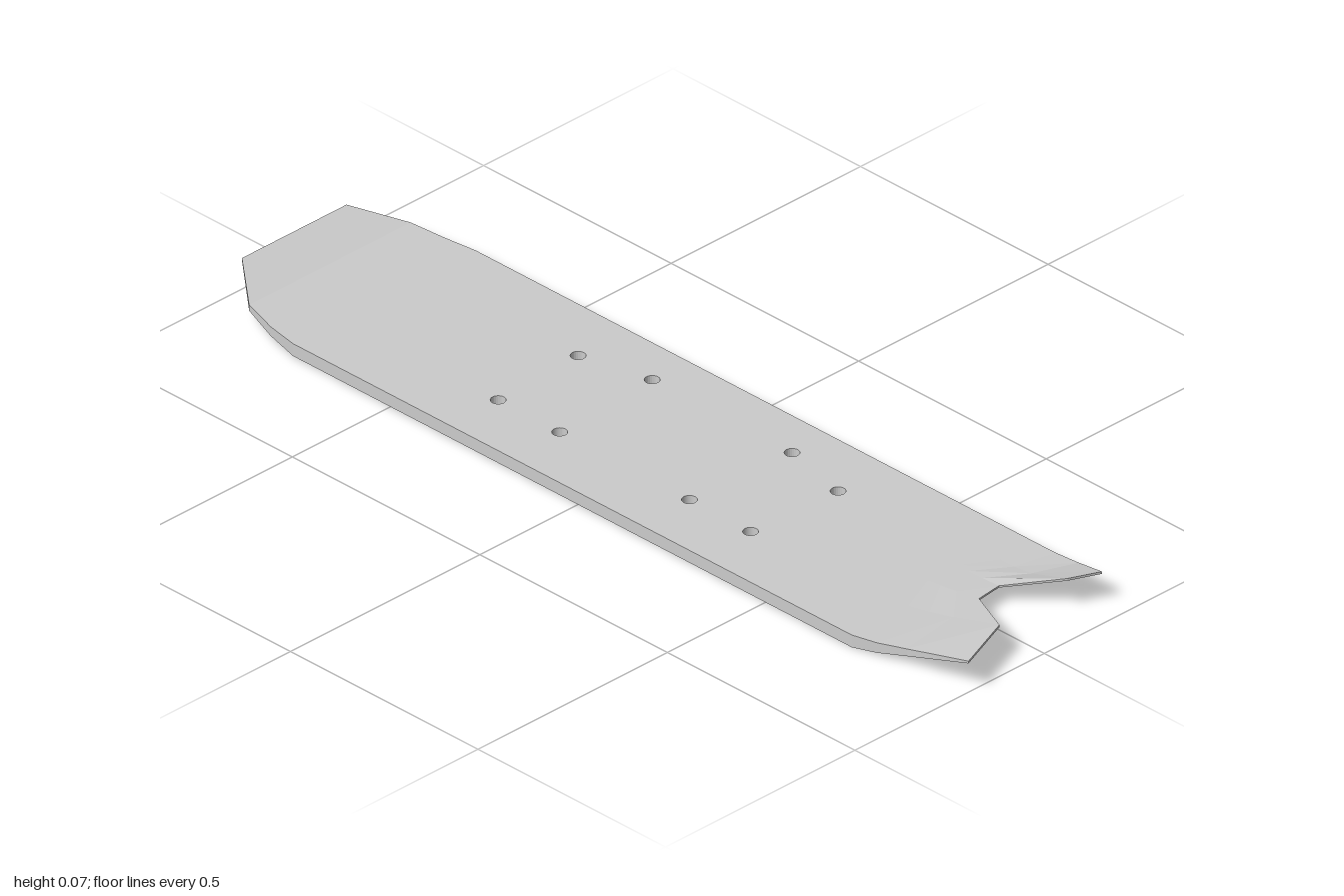
import * as THREE from 'three';

const THICK = 0.027;

// Lofts a solid bent end. Each row is a list of [x, z, bottom, top],
// rows run outward from the flat deck.
function loftEnd(rows) {
  const pos = [];
  const pt = (i, j, side) => {
    const [x, z, bottom, top] = rows[i][j];
    return [x, side ? top : bottom, z];
  };
  const quad = (a, b, c, d) => pos.push(...a, ...b, ...c, ...a, ...c, ...d);
  const n = rows.length - 1;
  const m = rows[0].length - 1;
  for (let i = 0; i < n; i++) {
    for (let j = 0; j < m; j++) {
      quad(pt(i, j, 1), pt(i + 1, j, 1), pt(i + 1, j + 1, 1), pt(i, j + 1, 1));
      quad(pt(i, j, 0), pt(i, j + 1, 0), pt(i + 1, j + 1, 0), pt(i + 1, j, 0));
    }
    // side walls
    quad(pt(i, 0, 1), pt(i, 0, 0), pt(i + 1, 0, 0), pt(i + 1, 0, 1));
    quad(pt(i, m, 1), pt(i + 1, m, 1), pt(i + 1, m, 0), pt(i, m, 0));
  }
  // outer rim
  for (let j = 0; j < m; j++) {
    quad(pt(n, j, 1), pt(n, j, 0), pt(n, j + 1, 0), pt(n, j + 1, 1));
  }
  const geo = new THREE.BufferGeometry();
  geo.setAttribute('position', new THREE.Float32BufferAttribute(pos, 3));
  geo.computeVertexNormals();
  return geo;
}

export function createModel() {
  const group = new THREE.Group();
  group.name = 'skateboardDeck';
  const material = new THREE.MeshStandardMaterial({ color: 0xcccccc, flatShading: true });
  const add = (name, geo) => {
    const mesh = new THREE.Mesh(geo, material);
    mesh.name = name;
    group.add(mesh);
  };

  // Notched nose: rows of [x, z]; columns 2 and 3 run into the notch, which rises less
  const noseRows = [
    { y: [0, THICK], notch: [0, THICK],
      p: [[-0.241, 0.73], [-0.09, 0.73], [0, 0.69], [0.08, 0.69], [0.15, 0.73], [0.241, 0.74]] },
    { y: [0.007, 0.029], notch: [0.004, 0.028],
      p: [[-0.23, 0.785], [-0.08, 0.775], [0.003, 0.72], [0.077, 0.72], [0.148, 0.77], [0.239, 0.79]] },
    { y: [0.021, 0.037], notch: [0.013, 0.031],
      p: [[-0.215, 0.85], [-0.072, 0.83], [0.006, 0.76], [0.074, 0.76], [0.145, 0.82], [0.235, 0.855]] },
    { y: [0.063, 0.068], notch: [0.034, 0.038],
      p: [[-0.2, 1], [-0.066, 0.947], [0.009, 0.817], [0.068, 0.81], [0.143, 0.917], [0.207, 0.945]] },
  ];
  add('nose', loftEnd(noseRows.map(({ y, notch, p }) =>
    p.map(([x, z], j) => [x, z, ...(j === 2 || j === 3 ? notch : y)]))));

  // Kicked tail: [half width, z, bottom, top]
  const tailRows = [
    [0.241, -0.76, 0, THICK],
    [0.23, -0.83, 0.009, 0.029],
    [0.213, -0.905, 0.025, 0.038],
    [0.138, -1, 0.063, 0.068],
  ];
  add('tail', loftEnd(tailRows.map(([w, ...rest]) => [[w, ...rest], [-w, ...rest]])));

  // Flat middle, pierced by the truck bolt holes
  const outline = [[-0.241, -0.76], ...noseRows[0].p, [0.241, -0.76]];
  const shape = new THREE.Shape(outline.map(([x, z]) => new THREE.Vector2(x, -z)));
  const holes = [
    [-0.111, -0.344], [-0.111, -0.18], [0.109, -0.353], [0.146, -0.193],
    [-0.111, 0.166], [-0.111, 0.329], [0.146, 0.18], [0.109, 0.34],
  ];
  for (const [x, z] of holes) {
    shape.holes.push(new THREE.Path().absarc(x, -z, 0.015, 0, Math.PI * 2, true));
  }
  const plate = new THREE.ExtrudeGeometry(shape, { depth: THICK, bevelEnabled: false, curveSegments: 12 });
  plate.rotateX(-Math.PI / 2);
  add('deckPlate', plate);

  return group;
}
